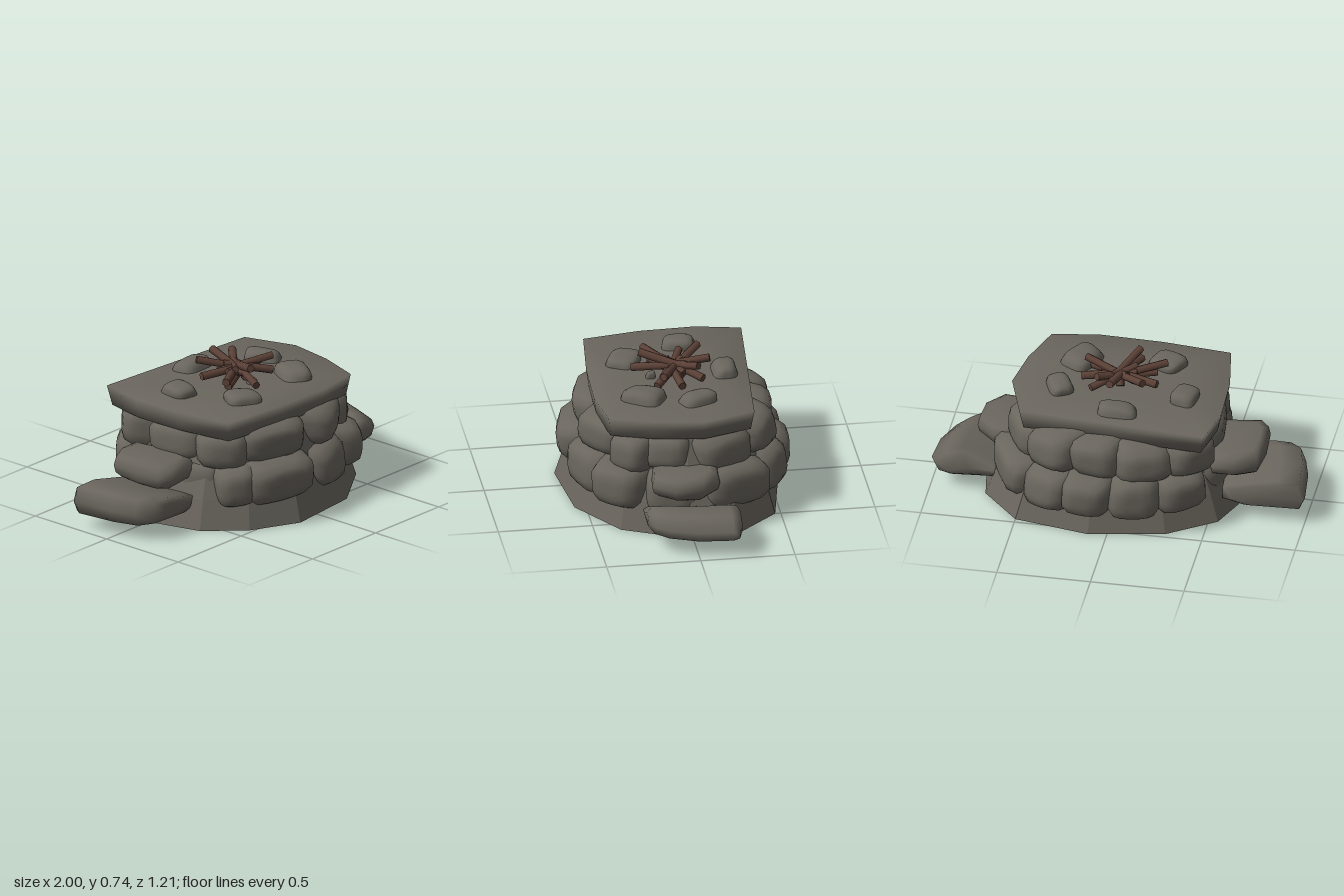
import * as THREE from 'three';
import { mergeVertices } from 'three/addons/utils/BufferGeometryUtils.js';

const stone = new THREE.MeshStandardMaterial({ color: 0x6a665e });
stone.name = 'stone';
const wood = new THREE.MeshStandardMaterial({ color: 0x5d4238 });
wood.name = 'wood';

// Seeded random in -1..1
let seed = 7;
const rnd = () => {
  seed = (seed * 16807) % 2147483647;
  return (seed / 2147483647) * 2 - 1;
};

// Irregular rounded block: a boxy sphere, narrower towards +z, warped by eight wandering corners
function rockGeometry(w, h, d, rough, boxiness) {
  let g = new THREE.IcosahedronGeometry(1, 3);
  g.deleteAttribute('uv');
  g.deleteAttribute('normal');
  g = mergeVertices(g, 1e-4);
  const corners = Array.from({ length: 8 }, () => new THREE.Vector3(rnd(), rnd(), rnd()).multiplyScalar(rough));
  const p = g.attributes.position;
  const v = new THREE.Vector3();
  for (let i = 0; i < p.count; i++) {
    v.fromBufferAttribute(p, i);
    const sum = Math.abs(v.x) ** boxiness + Math.abs(v.y) ** boxiness + Math.abs(v.z) ** boxiness;
    v.divideScalar(sum ** (1 / boxiness));
    const o = v.clone();
    corners.forEach((c, k) => {
      const sx = k & 1 ? 1 : -1, sy = k & 2 ? 1 : -1, sz = k & 4 ? 1 : -1;
      v.addScaledVector(c, ((1 + sx * o.x) * (1 + sy * o.y) * (1 + sz * o.z)) / 8);
    });
    const taper = 1.04 - 0.13 * o.z;
    p.setXYZ(i, (v.x * taper * w) / 2, (v.y * taper * h) / 2, (v.z * d) / 2);
  }
  g.computeVertexNormals();
  return g;
}

// Stack of scaled copies of an [x, z] outline; rings are [scale, y, shift in x]
function loft(outline, rings, flat = false) {
  const n = outline.length;
  const cx = outline.reduce((s, q) => s + q[0], 0) / n;
  const cz = outline.reduce((s, q) => s + q[1], 0) / n;
  const pos = [], idx = [];
  for (const [s, y, dx = 0] of rings) {
    for (const [x, z] of outline) pos.push(cx + dx + (x - cx) * s, y, cz + (z - cz) * s);
  }
  const last = (rings.length - 1) * n, low = rings.length * n, top = rings.at(-1);
  pos.push(cx + (rings[0][2] ?? 0), rings[0][1], cz, cx + (top[2] ?? 0), top[1], cz);
  for (let i = 0; i < n; i++) {
    const j = (i + 1) % n;
    for (let r = 0; r < last; r += n) idx.push(r + i, r + j, r + n + j, r + i, r + n + j, r + n + i);
    idx.push(low, j, i, low + 1, last + i, last + j);
  }
  let g = new THREE.BufferGeometry();
  g.setAttribute('position', new THREE.Float32BufferAttribute(pos, 3));
  g.setIndex(idx);
  if (flat) g = g.toNonIndexed();
  g.computeVertexNormals();
  return g;
}

// Same stack run from back to front: [x, y] profile, rings are [scale, z, shift in x]
const loftAlongZ = (profile, rings) => loft(profile.map(([x, y]) => [x, -y]), rings).rotateX(Math.PI / 2);

export function createModel() {
  seed = 7;
  const model = new THREE.Group();
  model.name = 'stoneFirePit';
  const add = (name, geometry, material = stone, parent = model) => {
    const m = new THREE.Mesh(geometry, material);
    m.name = name;
    parent.add(m);
    return m;
  };
  const group = (name) => {
    const g = new THREE.Group();
    g.name = name;
    model.add(g);
    return g;
  };

  // Faceted foundation tapering into the core behind the stones
  const foot = [[-0.15, 0.605], [0.27, 0.56], [0.57, 0.36], [0.74, 0], [0.7, -0.25], [0.5, -0.47],
    [0.1, -0.545], [-0.3, -0.47], [-0.55, -0.3], [-0.67, 0], [-0.59, 0.29], [-0.41, 0.48]];
  add('foundation', loft(foot, [[1, 0], [0.92, 0.155], [0.7, 0.5]], true));

  // Two courses of wall stones: [x, z, width]
  const lower = [[-0.18, 0.44, 0.41], [0.18, 0.42, 0.35], [0.43, 0.32, 0.3], [0.52, 0.08, 0.28],
    [0.5, -0.23, 0.36], [0.31, -0.39, 0.28], [0.11, -0.46, 0.26], [-0.12, -0.42, 0.28],
    [-0.34, -0.34, 0.28], [-0.43, -0.1, 0.3], [-0.39, 0.14, 0.28], [-0.35, 0.32, 0.25]];
  const upper = [[-0.15, 0.36, 0.44], [0.23, 0.35, 0.36], [0.41, 0.26, 0.26], [0.43, 0.1, 0.27],
    [0.42, -0.16, 0.38], [0.29, -0.34, 0.28], [0.08, -0.38, 0.28], [-0.17, -0.37, 0.3],
    [-0.35, -0.27, 0.28], [-0.4, 0, 0.34], [-0.36, 0.24, 0.28]];
  const course = (name, list, y, h) => {
    const g = group(name);
    for (const [x, z, w] of list) {
      const m = add('wallStone', rockGeometry(w, h, 0.28, 0.17, 4.5), stone, g);
      m.position.set(x, y + rnd() * 0.01, z);
      m.rotation.set(0, Math.atan2(x * 0.75, z), rnd() * 0.08);
    }
  };
  course('lowerCourse', lower, 0.215, 0.23);
  course('upperCourse', upper, 0.405, 0.215);

  // Lower stepping stones: a wedge on the left, a blunt block on the right
  add('leftLowerStep', loftAlongZ([[0.9, 0.072], [0.97, 0.09], [1, 0.15], [0.92, 0.21], [0.83, 0.232],
    [0.62, 0.13], [0.5, 0.1], [0.66, 0.085]],
  [[0.6, -0.235], [0.92, -0.215], [1, -0.18], [0.98, 0, -0.01], [0.9, 0.15, -0.05], [0.76, 0.22, -0.08], [0.4, 0.245, -0.08]]));
  add('rightLowerStep', loftAlongZ([[-0.97, 0.08], [-0.67, 0.072], [-0.56, 0.1], [-0.56, 0.17],
    [-0.85, 0.235], [-0.97, 0.232], [-1, 0.15]],
  [[0.85, -0.24, -0.02], [1, -0.22], [0.98, 0, 0.02], [0.92, 0.14, 0.045], [0.76, 0.205, 0.08], [0.4, 0.22, 0.08]]));

  // Upper stepping stones
  const rounded = (y0, y1) => [[0.78, y0], [0.95, y0 + 0.025], [1, (y0 + y1) / 2], [0.93, y1 - 0.015], [0.7, y1]];
  add('leftUpperStep', loft([[0.68, 0.21], [0.77, 0.1], [0.78, -0.05], [0.68, -0.15], [0.48, -0.17],
    [0.45, 0.03], [0.5, 0.19]], rounded(0.23, 0.355)));
  add('rightUpperStep', loft([[-0.7, 0.2], [-0.5, 0.17], [-0.45, 0], [-0.5, -0.24], [-0.62, -0.24],
    [-0.74, -0.18], [-0.76, 0], [-0.75, 0.14]], rounded(0.23, 0.36)));

  // Flat capstone
  const cap = [[-0.49, 0.4], [-0.12, 0.44], [0.22, 0.45], [0.47, 0.41], [0.55, 0.17], [0.59, -0.08],
    [0.5, -0.36], [0, -0.4], [-0.5, -0.44], [-0.55, -0.2], [-0.54, 0.1]];
  add('capstone', loft(cap, [[0.88, 0.485], [0.96, 0.495], [0.98, 0.55], [1, 0.605], [0.5, 0.607]]));

  // Hearth stones around the fire, narrower at the top: [x, z, width, depth, turn]
  const hearth = group('hearthStones');
  [[-0.01, -0.275, 0.2, 0.13, 0.05], [0.33, -0.09, 0.13, 0.18, 0.5], [0.26, 0.19, 0.16, 0.21, -0.6],
    [-0.18, 0.23, 0.18, 0.15, -0.5], [-0.33, -0.08, 0.13, 0.17, -0.2], [0.02, 0.12, 0.04, 0.05, 0]]
    .forEach(([x, z, w, d, turn]) => {
      const rock = rockGeometry(w, d, w > 0.1 ? 0.085 : 0.05, 0.25, 4).rotateX(-Math.PI / 2);
      const m = add('hearthStone', rock, stone, hearth);
      m.position.set(x, 0.615, z);
      m.rotation.y = turn;
    });

  // Crossed firewood: each stick runs from an outer tip past the middle, [x, y, z, x, y, z]
  const fire = group('firewood');
  [[0.05, 0.715, -0.19, 0.0, 0.66, 0.08], [0.16, 0.65, -0.14, -0.05, 0.69, 0.06],
    [0.23, 0.645, -0.02, -0.06, 0.67, 0.02], [0.22, 0.7, 0.08, -0.06, 0.66, -0.05],
    [0.19, 0.635, 0.11, -0.02, 0.69, -0.05], [-0.05, 0.64, 0.21, 0.06, 0.69, -0.06],
    [-0.05, 0.725, 0.17, 0.06, 0.67, -0.06], [-0.2, 0.68, 0.13, 0.1, 0.66, -0.05],
    [-0.15, 0.635, 0.1, 0.12, 0.65, -0.03], [-0.18, 0.66, -0.06, 0.13, 0.67, 0.04],
    [-0.12, 0.715, -0.15, 0.1, 0.65, 0.05], [0.13, 0.71, -0.12, -0.04, 0.65, 0.05],
    [0.05, 0.61, 0.06, 0.02, 0.69, 0], [0.02, 0.61, -0.03, 0.03, 0.68, 0.02]]
    .forEach(([ax, ay, az, bx, by, bz]) => {
      const a = new THREE.Vector3(ax, ay, az), b = new THREE.Vector3(bx, by, bz);
      const m = add('stick', new THREE.CylinderGeometry(0.02, 0.022, a.distanceTo(b), 6), wood, fire);
      m.position.copy(a).lerp(b, 0.5);
      m.quaternion.setFromUnitVectors(new THREE.Vector3(0, 1, 0), b.sub(a).normalize());
    });

  return model;
}
